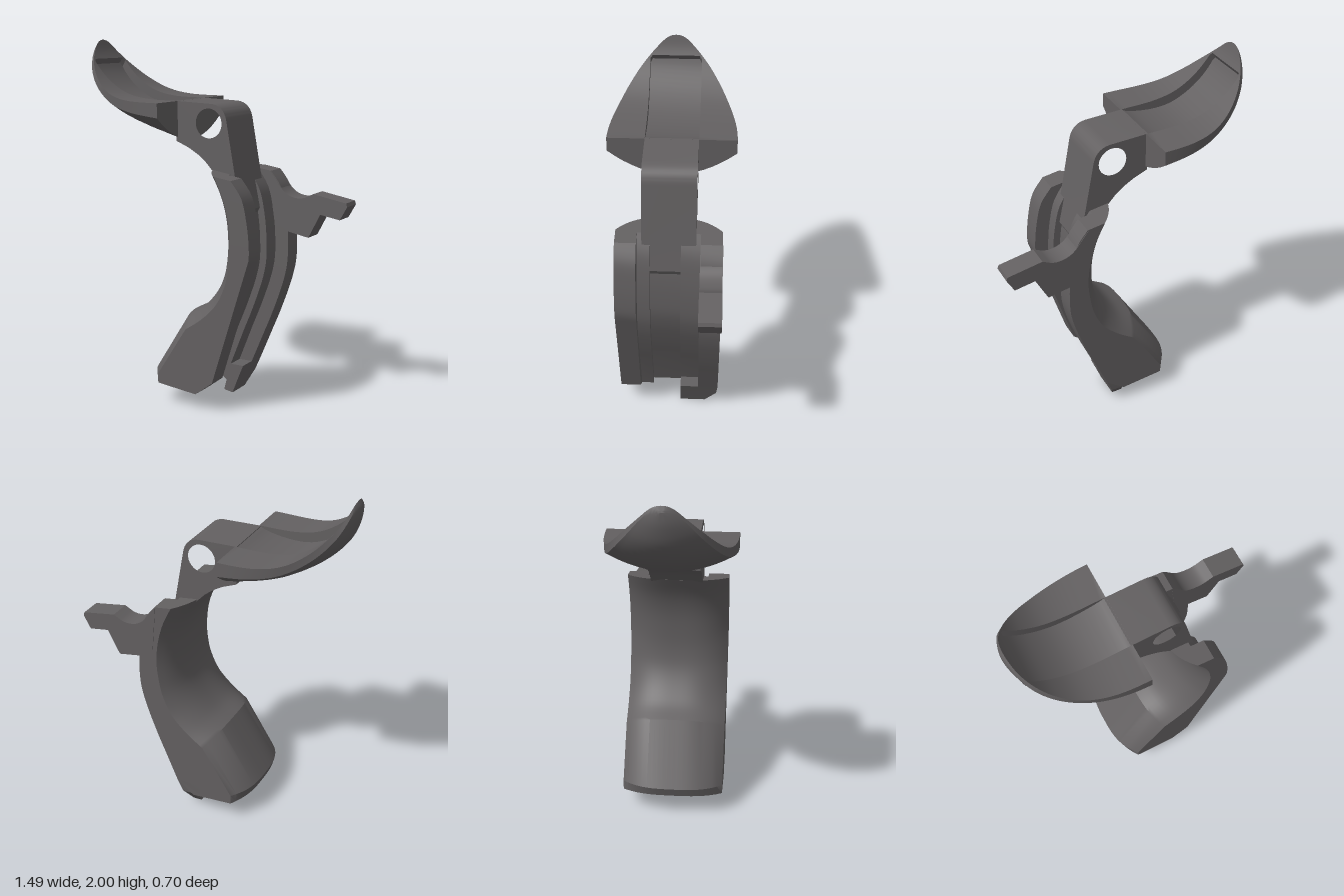
import * as THREE from 'three';
import { toCreasedNormals } from 'three/addons/utils/BufferGeometryUtils.js';

const material = new THREE.MeshStandardMaterial({ color: 0x636061 });
const v2 = ([x, y]) => new THREE.Vector2(x, y);

function addMesh(group, name, geometry) {
  const mesh = new THREE.Mesh(geometry, material);
  mesh.name = name;
  group.add(mesh);
}

// Skin closed cross-sections; capAxis is the axis paired with z when capping the ends.
function loft(sections, capAxis) {
  const flat = (s) => s.map((p) => new THREE.Vector2(p.z, p[capAxis]));
  if (THREE.ShapeUtils.area(flat(sections[0])) < 0) sections.forEach((s) => s.reverse());
  const tris = [];
  const n = sections[0].length;
  for (let i = 0; i < sections.length - 1; i++) {
    const a = sections[i], b = sections[i + 1];
    for (let j = 0; j < n; j++) {
      const k = (j + 1) % n;
      tris.push([a[j], a[k], b[k]], [a[j], b[k], b[j]]);
    }
  }
  const first = sections[0], last = sections[sections.length - 1];
  for (const [a, b, c] of THREE.ShapeUtils.triangulateShape(flat(first), [])) tris.push([first[a], first[c], first[b]]);
  for (const [a, b, c] of THREE.ShapeUtils.triangulateShape(flat(last), [])) tris.push([last[a], last[b], last[c]]);
  // Turn every face outwards
  let volume = 0;
  const cross = new THREE.Vector3();
  for (const [a, b, c] of tris) volume += a.dot(cross.crossVectors(b, c));
  const points = tris.flatMap(([a, b, c]) => (volume < 0 ? [a, c, b] : [a, b, c]));
  const geometry = new THREE.BufferGeometry().setFromPoints(points);
  return toCreasedNormals(geometry, 0.5);
}

// Flat side profile extruded between two z values
function plate(shape, z0, z1) {
  const g = new THREE.ExtrudeGeometry(shape, { depth: z1 - z0, bevelEnabled: false, curveSegments: 16 });
  return g.translate(0, 0, z0);
}

// Grip: rounded finger side, channelled outer side
function gripGeometry() {
  const half = 0.285;
  // Finger side at the middle, finger side at the edges, outer side
  const inner = [[0.08, 1.32], [0.145, 1.2], [0.18, 1.08], [0.19, 0.95], [0.185, 0.84], [0.16, 0.74], [0.105, 0.645], [0.03, 0.565], [-0.06, 0.515]].map(v2);
  const edge = [[0.18, 1.305], [0.23, 1.2], [0.265, 1.08], [0.28, 0.95], [0.27, 0.83], [0.245, 0.72], [0.19, 0.61], [0.1, 0.52], [0, 0.45]].map(v2);
  const outer = [[0.28, 1.29], [0.345, 1.2], [0.375, 1.08], [0.39, 0.95], [0.39, 0.8], [0.37, 0.69], [0.335, 0.58], [0.29, 0.46], [0.25, 0.365]].map(v2);
  const curves = [inner, edge, outer].map((p) => new THREE.SplineCurve(p));
  const stations = [];
  for (let i = 0; i <= 32; i++) stations.push({ ends: curves.map((c) => c.getPoint(i / 32)), cut: 0 });
  stations.push({ ends: [[-0.27, 0.18], [-0.18, 0.17], [0.168, 0.17]].map(v2), cut: 0 });
  // The walls are cut back at the foot while the floor runs on
  stations.push({ ends: [[-0.255, 0.13], [-0.18, 0.115], [0.14, 0.08]].map(v2), cut: 0.079 });
  // Outer side as z and depth below the rim: walls, steps, floor
  const channel = [[0.285, 0], [0.17, 0], [0.17, 0.08], [0.1, 0.08], [0.1, 0.12],
    [-0.065, 0.12], [-0.065, 0.08], [-0.17, 0.08], [-0.17, 0], [-0.285, 0]];
  const sections = stations.map(({ ends: [I, E, O], cut }) => {
    const s = [];
    for (let j = 0; j <= 20; j++) {
      const u = j / 10 - 1;
      const p = I.clone().lerp(E, Math.abs(u) ** 3);
      s.push(new THREE.Vector3(p.x, p.y, u * half));
    }
    const dir = O.clone().sub(I).normalize();
    for (const [z, d] of channel) {
      const p = O.clone().addScaledVector(dir, -Math.max(d, cut));
      // The left wall has a straight lower rim
      if (z > 0.15 && d === 0 && p.y > 0.17 && p.y < 0.88) p.x = Math.min(p.x, 0.168 + 0.313 * (p.y - 0.17));
      s.push(new THREE.Vector3(p.x, p.y, z));
    }
    return s;
  });
  return loft(sections, 'x');
}

// Spur: upswept scoop with a rounded tip and a recess along its top
function spurGeometry() {
  const top = new THREE.SplineCurve([[-0.73, 2], [-0.705, 1.93], [-0.66, 1.86], [-0.58, 1.78], [-0.47, 1.715], [-0.33, 1.685], [-0.13, 1.68]].map(v2));
  const bottom = new THREE.SplineCurve([[-0.745, 1.97], [-0.74, 1.89], [-0.7, 1.78], [-0.6, 1.67], [-0.45, 1.575], [-0.3, 1.515], [-0.13, 1.46]].map(v2));
  const section = (t, recess) => {
    const T = top.getPoint(t), B = bottom.getPoint(t);
    const along = THREE.MathUtils.clamp((-0.13 - T.x) / 0.6, 0, 1);
    const w = Math.max(0.006, 0.35 * (1 - along ** 2.3) ** (1 / 2.1));
    const r = Math.min(0.145, w * 0.9);
    const at = (z, f) => new THREE.Vector3(T.x + (B.x - T.x) * f, T.y + (B.y - T.y) * f, z);
    const s = [at(-w, 0), at(-r, 0), at(-r, recess), at(r, recess), at(r, 0), at(w, 0)];
    for (let j = 0; j <= 16; j++) {
      const u = 1 - j / 8;
      s.push(at(u * w, 0.36 + 0.64 * (1 - u * u)));
    }
    return s;
  };
  const sections = [];
  for (let i = 0; i <= 12; i++) sections.push(section(0.25 * (i / 12) ** 2, 0.001));
  for (let i = 0; i <= 20; i++) {
    const s = i / 20;
    sections.push(section(0.25 + 0.75 * s, 0.001 + 0.52 * (1 - s ** 3)));
  }
  return loft(sections, 'y');
}

export function createModel() {
  const group = new THREE.Group();
  addMesh(group, 'grip', gripGeometry());
  addMesh(group, 'spur', spurGeometry());

  // Neck with the pivot hole
  const neck = new THREE.Shape();
  neck.moveTo(-0.14, 1.68);
  neck.lineTo(0.08, 1.672);
  neck.bezierCurveTo(0.13, 1.668, 0.165, 1.64, 0.175, 1.58);
  for (const [x, y] of [[0.228, 1.29], [0.268, 1.1], [0.24, 1.04], [0.22, 1.04], [0.2, 1.17], [0.15, 1.26],
    [0.09, 1.312], [0.05, 1.355], [0, 1.395], [-0.06, 1.43], [-0.14, 1.463]]) neck.lineTo(x, y);
  const rim = [];
  for (let i = 0; i < 40; i++) {
    const a = (-i / 40) * Math.PI * 2;
    rim.push(new THREE.Vector2(0.065 + 0.08 * Math.cos(a), 1.567 + 0.08 * Math.sin(a)));
  }
  neck.holes.push(new THREE.Path(rim));
  addMesh(group, 'neck', toCreasedNormals(plate(neck, -0.145, 0.145), 0.5));

  // Hooked side arm
  const arm = new THREE.Shape();
  arm.moveTo(0.275, 1.288);
  arm.lineTo(0.347, 1.197);
  arm.bezierCurveTo(0.39, 1.145, 0.46, 1.14, 0.5, 1.16);
  for (const [x, y] of [[0.54, 1.18], [0.735, 1.145], [0.742, 1.125], [0.7, 1.05], [0.585, 1.07], [0.515, 0.935], [0.38, 0.96], [0.3, 1.02]]) arm.lineTo(x, y);
  addMesh(group, 'sideArm', toCreasedNormals(plate(arm, -0.288, -0.168), 0.5));

  // Foot tab, its lower back corner cut at an angle
  const tab = new THREE.Shape([[0.02, 0.1], [0.06, 0.07], [0.045, 0.01], [0.1, 0], [0.135, 0.09], [0.168, 0.17], [0.02, 0.17]].map(v2));
  const tabGeometry = plate(tab, -0.285, -0.065);
  const pos = tabGeometry.attributes.position;
  for (let i = 0; i < pos.count; i++) {
    if (pos.getZ(i) < -0.2 && pos.getY(i) < 0.095) pos.setZ(i, -0.21 - 0.75 * pos.getY(i));
  }
  addMesh(group, 'footTab', toCreasedNormals(tabGeometry, 0.4));
  return group;
}
